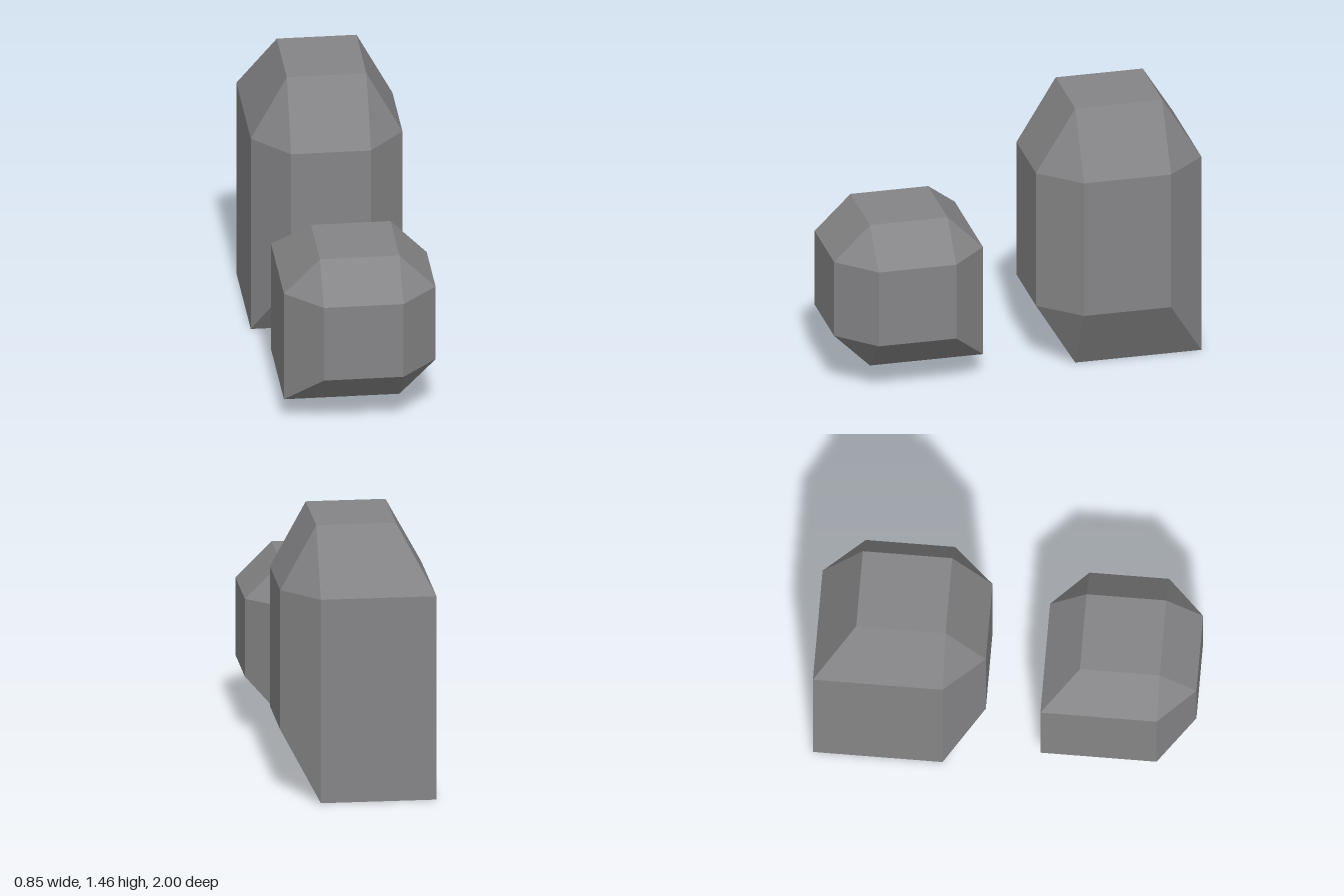
import * as THREE from 'three';
import { ConvexGeometry } from 'three/addons/geometries/ConvexGeometry.js';

// Chamfered block: each axis lists [low, inner low, inner high, high].
// The three edges meeting at the low corner stay sharp; all others are bevelled.
function rockGeometry(axes) {
  const points = [];
  for (let face = 0; face < 3; face++) {
    for (let corner = 0; corner < 8; corner++) {
      const high = [0, 1, 2].map((a) => ((corner >> a) & 1) === 1);
      const p = axes.map((levels, a) => {
        const outer = a === face || (!high[face] && !high[a]);
        if (outer) return high[a] ? levels[3] : levels[0];
        return high[a] ? levels[2] : levels[1];
      });
      points.push(new THREE.Vector3(...p));
    }
  }
  return new ConvexGeometry(points);
}

export function createModel() {
  const group = new THREE.Group();
  group.name = 'rocks';
  const stone = new THREE.MeshStandardMaterial({ color: 0x858587, flatShading: true });
  stone.name = 'stone grey';

  const rocks = {
    // Tall rock at the back
    tallRock: [
      [-0.427, -0.237, 0.184, 0.374],
      [0, 0.348, 1.108, 1.456],
      [-1, -0.788, -0.317, -0.105],
    ],
    // Small rock at the front, raised off the ground
    smallRock: [
      [-0.377, -0.187, 0.233, 0.424],
      [0.124, 0.315, 0.738, 0.929],
      [0.194, 0.386, 0.806, 1],
    ],
  };

  for (const [name, axes] of Object.entries(rocks)) {
    const mesh = new THREE.Mesh(rockGeometry(axes), stone);
    mesh.name = name;
    group.add(mesh);
  }
  return group;
}
